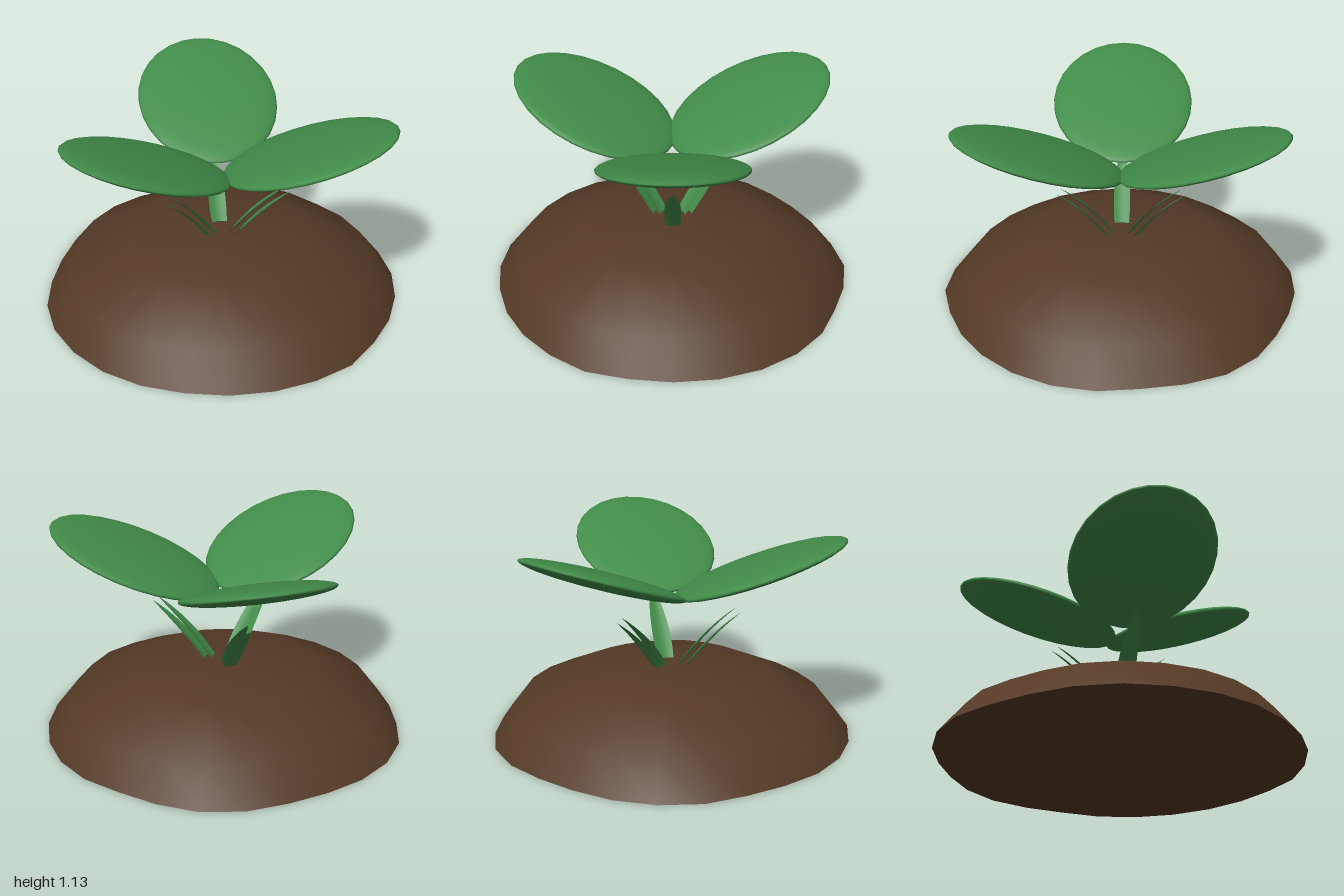
import * as THREE from 'three';
import { mergeVertices } from 'three/addons/utils/BufferGeometryUtils.js';

const soil = new THREE.MeshStandardMaterial({ color: 0x553a26 });
soil.name = 'soil brown';
const green = new THREE.MeshStandardMaterial({ color: 0x418c49, side: THREE.DoubleSide });
green.name = 'leaf green';

// Uneven rim radii of the mound, counter-clockwise from +x as seen from above
const RIM = [
  0.99, 0.995, 1.0, 1.0, 0.99, 0.967, 0.98, 1.0, 0.993, 0.97, 0.97, 0.99, 1.005, 1.005,
  0.98, 0.98, 1.0, 1.01, 1.01, 1.008, 1.0, 0.988, 0.99, 0.994, 1.0, 1.01, 0.99,
];

function named(geometry, material, name) {
  const mesh = new THREE.Mesh(geometry, material);
  mesh.name = name;
  return mesh;
}

// Low dome turned from a short profile, its rim made uneven
function moundGeometry() {
  const profile = [[1, 0], [0.86, 0.18], [0.52, 0.335], [0, 0.39]].map((p) => new THREE.Vector2(...p));
  const dome = new THREE.LatheGeometry(profile, RIM.length, Math.PI / 2);
  const pos = dome.attributes.position;
  for (let i = 0; i < pos.count; i++) {
    const r = RIM[Math.floor(i / profile.length) % RIM.length];
    pos.setXYZ(i, pos.getX(i) * r, pos.getY(i), pos.getZ(i) * r);
  }
  dome.deleteAttribute('uv');
  dome.deleteAttribute('normal');
  const merged = mergeVertices(dome, 1e-4);
  merged.computeVertexNormals();
  return merged;
}

// Flat underside following the same rim
function baseGeometry() {
  const rim = RIM.map((r, i) => {
    const a = (i / RIM.length) * Math.PI * 2;
    return new THREE.Vector2(r * Math.cos(a), -r * Math.sin(a));
  });
  return new THREE.ShapeGeometry(new THREE.Shape(rim)).rotateX(Math.PI / 2);
}

// Curved pointed blade lying along a path in the xy plane, slightly cupped
function bladeGeometry(points) {
  const path = new THREE.QuadraticBezierCurve3(...points.map(([x, y]) => new THREE.Vector3(x, y, 0)));
  const geo = new THREE.PlaneGeometry(2, 1, 4, 10);
  const pos = geo.attributes.position;
  for (let i = 0; i < pos.count; i++) {
    const side = pos.getX(i);
    const t = pos.getY(i) + 0.5;
    const width = 0.046 * Math.pow(Math.max(0, Math.sin(Math.PI * (0.3 + 0.7 * t))), 0.8);
    const p = path.getPoint(t);
    const cup = 0.15 * width * side * side;
    pos.setXYZ(i, p.x - cup, p.y + cup, -side * width);
  }
  geo.computeVertexNormals();
  return geo;
}

export function createModel() {
  const model = new THREE.Group();
  model.name = 'seedling';

  const mound = new THREE.Group();
  mound.name = 'mound';
  mound.add(named(moundGeometry(), soil, 'moundDome'), named(baseGeometry(), soil, 'moundBase'));
  model.add(mound);

  const leafGeo = new THREE.SphereGeometry(1, 28, 18).scale(0.494, 0.05, 0.395);
  const innerBlade = bladeGeometry([[0.05, 0.355], [0.19, 0.565], [0.37, 0.725]]);
  const outerBlade = bladeGeometry([[0.09, 0.35], [0.23, 0.55], [0.4, 0.7]]);

  // Three equal sprigs around the middle
  for (let i = 0; i < 3; i++) {
    const sprig = new THREE.Group();
    sprig.name = `sprig${i + 1}`;
    sprig.rotation.y = (i * Math.PI * 2) / 3;

    // Broad raised leaf
    const leaf = named(leafGeo, green, 'leaf');
    leaf.position.set(0.493, 0.95, 0);
    leaf.rotation.z = 0.36;

    // Pair of small blades sprouting from the soil
    sprig.add(leaf, named(innerBlade, green, 'innerBlade'), named(outerBlade, green, 'outerBlade'));
    model.add(sprig);
  }
  return model;
}
